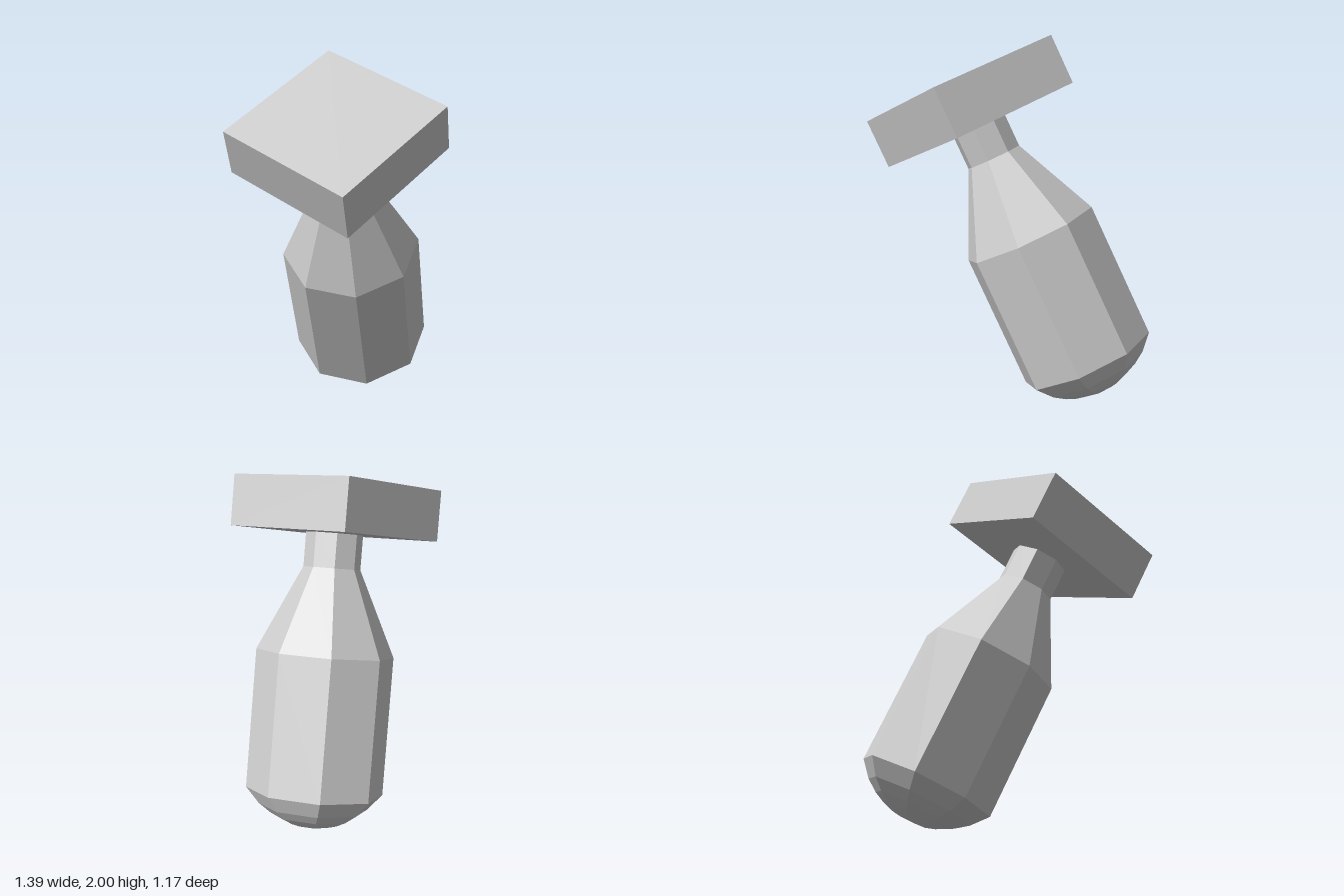
import * as THREE from 'three';

export function createModel() {
  const model = new THREE.Group();
  const grey = new THREE.MeshStandardMaterial({ color: 0xcccccc });
  grey.name = 'plainGrey';

  // Whole hammer is built upright, then tilted about the grip's lower ring
  const hammer = new THREE.Group();
  hammer.name = 'tiltedHammer';
  const up = new THREE.Vector3(-0.395, 0.893, 0.218).normalize();
  const side = new THREE.Vector3(0.919, 0.385, 0.087);
  side.addScaledVector(up, -side.dot(up)).normalize();
  const front = new THREE.Vector3().crossVectors(side, up);
  hammer.quaternion.setFromRotationMatrix(new THREE.Matrix4().makeBasis(side, up, front));
  hammer.position.set(0.34, 0.228, -0.207);
  model.add(hammer);

  function add(name, geometry, y = 0) {
    const faceted = geometry.toNonIndexed();
    faceted.computeVertexNormals();
    const mesh = new THREE.Mesh(faceted, grey);
    mesh.name = name;
    mesh.position.y = y;
    hammer.add(mesh);
  }
  const lathe = (points) =>
    new THREE.LatheGeometry(points.map(([r, y]) => new THREE.Vector2(r, y)), 8);

  const R = 0.38;
  // Shallow rounded end with a small flat cap
  add('roundedEnd', lathe([
    [0, -0.188], [0.28 * R, -0.188], [0.45 * R, -0.167],
    [0.62 * R, -0.135], [0.8 * R, -0.086], [R, 0],
  ]));
  // Straight grip, tapering shoulder and narrow neck
  add('grip', lathe([[R, 0], [R, 0.768]]));
  add('shoulder', lathe([[R, 0.768], [0.157, 1.237]]));
  add('neck', lathe([[0.157, 1.237], [0.157, 1.45]]));
  // Square block head
  add('head', new THREE.BoxGeometry(0.805, 0.28, 0.803), 1.566);

  return model;
}
